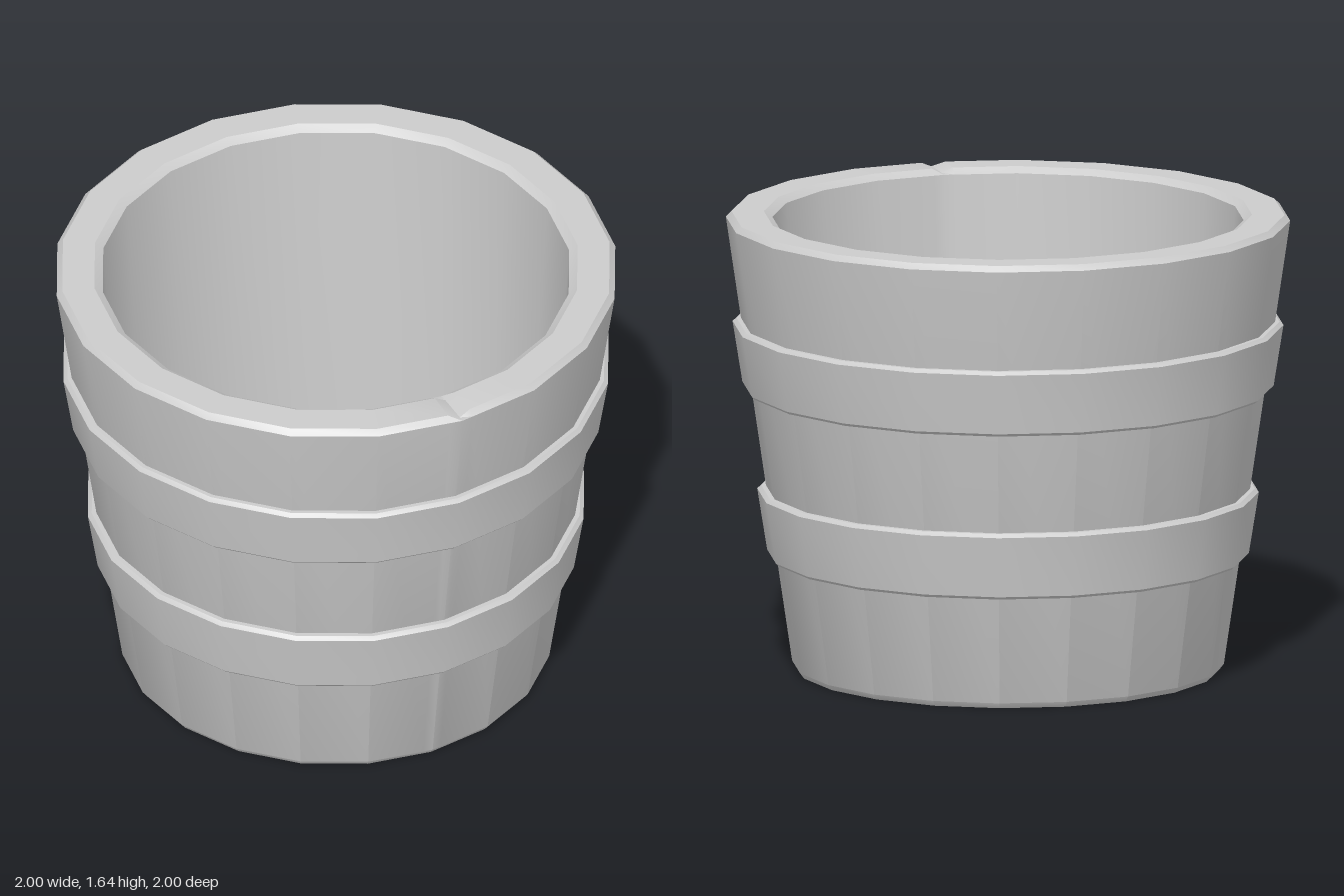
import * as THREE from 'three';
import { toCreasedNormals } from 'three/addons/utils/BufferGeometryUtils.js';

const SIDES = 20;
const STEP = (Math.PI * 2) / SIDES;
const CHIP = 19 * STEP; // corner of the rim that carries the chip
const material = new THREE.MeshStandardMaterial({ color: 0xcccccc });

// outer wall radius at a given height
const wall = (y) => 0.765 + 0.145 * (y - 0.02);

// revolve a profile through the 20-sided polygon, with optional extra columns
function turn(name, profile, extra = [], reshape = null) {
  const angles = Array.from({ length: SIDES + 1 }, (_, i) => i * STEP);
  angles.push(...extra);
  angles.sort((a, b) => a - b);
  const points = profile.map(([r, y]) => new THREE.Vector2(r, y));
  const geometry = new THREE.LatheGeometry(points, angles.length - 1);
  const pos = geometry.attributes.position;
  angles.forEach((phi, i) => {
    // keep extra columns on the straight side between two corners
    const k = Math.round(phi / STEP);
    const d = Math.abs(phi - k * STEP);
    const f = Math.cos(STEP / 2) / Math.cos(STEP / 2 - d);
    profile.forEach(([r, y], j) => {
      const [r2, y2] = reshape ? reshape(r, y, phi) : [r, y];
      pos.setXYZ(i * profile.length + j, Math.sin(phi) * r2 * f, y2, Math.cos(phi) * r2 * f);
    });
  });
  const mesh = new THREE.Mesh(toCreasedNormals(geometry, 0.56), material);
  mesh.name = name;
  return mesh;
}

export function createModel() {
  const group = new THREE.Group();
  group.name = 'bucket';

  // hollow body: underside, outer wall, bevelled rim, inner wall, floor
  const body = [
    [0, 0], [0.75, 0], [0.765, 0.02],
    [1.0, 1.62], [0.98, 1.64],
    [0.865, 1.64], [0.835, 1.62],
    [0.743, 0.08], [0, 0.08],
  ];
  // small chip pressed into the rim at one corner
  const chip = (r, y, phi) =>
    y > 1.63 && Math.abs(phi - CHIP) < 0.001 ? [r, y - 0.018] : [r, y];
  group.add(turn('body', body, [CHIP - 0.045, CHIP + 0.045], chip));

  // two raised hoops with bevelled edges
  const hoop = (name, y0, y1) => {
    const out = 0.032;
    group.add(turn(name, [
      [wall(y0) - 0.02, y0],
      [wall(y0) + out - 0.01, y0],
      [wall(y0) + out, y0 + 0.01],
      [wall(y1) + out, y1 - 0.012],
      [wall(y1) + out - 0.014, y1],
      [wall(y1) - 0.02, y1],
    ]));
  };
  hoop('lowerHoop', 0.41, 0.652);
  hoop('upperHoop', 1.015, 1.255);

  return group;
}
